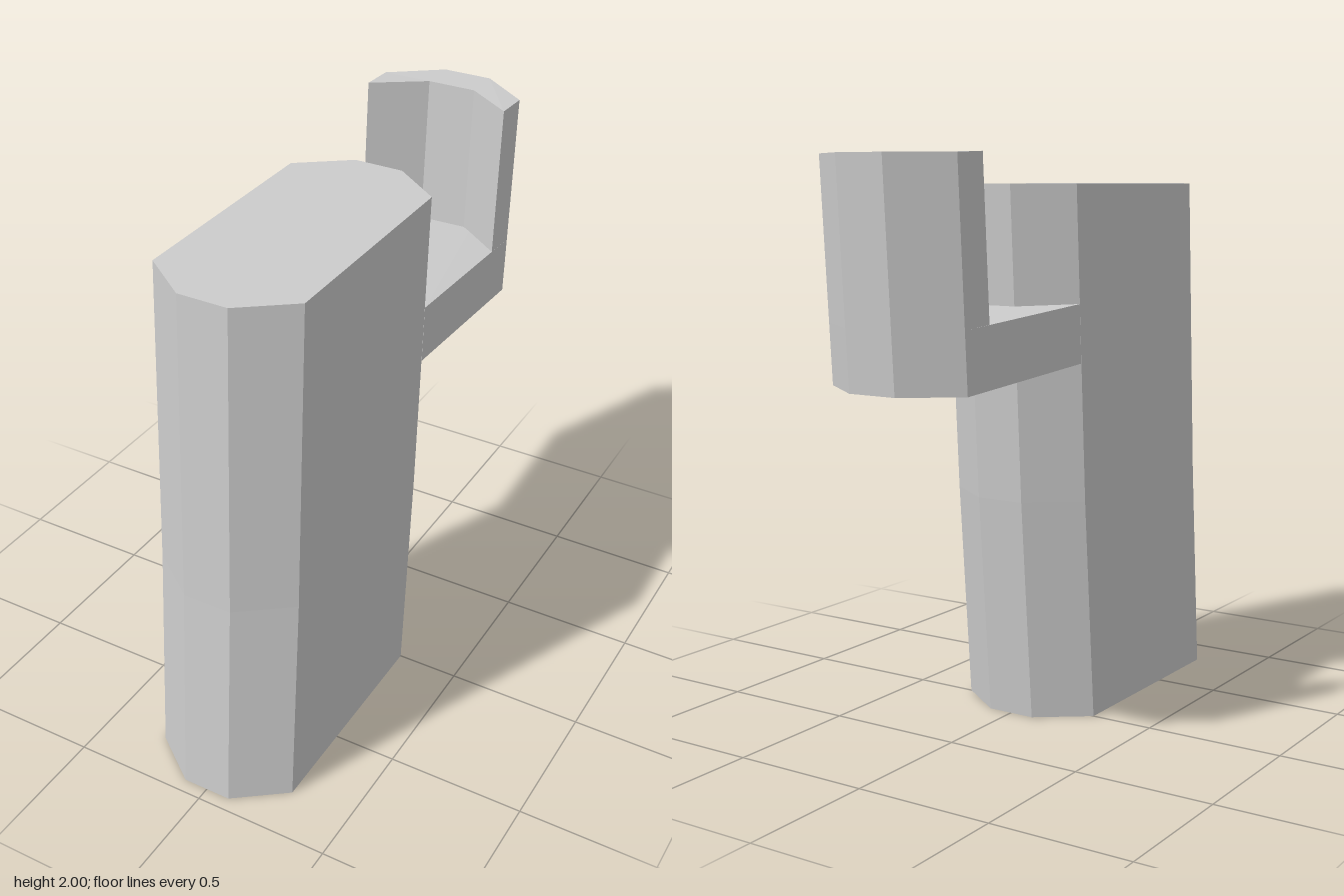
import * as THREE from 'three';

const W = 0.27; // half width
const T = 0.09; // half width of the flat tip
const material = new THREE.MeshStandardMaterial({ color: 0xcccccc, flatShading: true });

// Closed solid through stacked rings of [x, y, z], listed from bottom to top.
// Each ring runs from +x towards +z.
function loft(name, rings) {
  const pos = [];
  const n = rings[0].length;
  const tri = (a, b, c) => pos.push(...a, ...b, ...c);
  for (let r = 0; r < rings.length - 1; r++) {
    const low = rings[r], up = rings[r + 1];
    for (let i = 0; i < n; i++) {
      const j = (i + 1) % n;
      tri(low[i], up[i], up[j]);
      tri(low[i], up[j], low[j]);
    }
  }
  const last = rings[rings.length - 1];
  const flat = (ring) => ring.map(([x, , z]) => new THREE.Vector2(x, z));
  for (const [a, b, c] of THREE.ShapeUtils.triangulateShape(flat(rings[0]), [])) tri(rings[0][a], rings[0][b], rings[0][c]);
  for (const [a, b, c] of THREE.ShapeUtils.triangulateShape(flat(last), [])) tri(last[a], last[c], last[b]);
  const geometry = new THREE.BufferGeometry();
  geometry.setAttribute('position', new THREE.Float32BufferAttribute(pos, 3));
  geometry.computeVertexNormals();
  const mesh = new THREE.Mesh(geometry, material);
  mesh.name = name;
  return mesh;
}

// Half of a bevelled end, from +x to -x, with side and tip depths
const end = (side, tip, ySide, yTip = ySide) => [
  [W, ySide, side], [T, yTip, tip], [-T, yTip, tip], [-W, ySide, side],
];

// Elongated octagon of the body, shifted backwards by dz
const bodyRing = (y, dz) => [
  ...end(0.815 + dz, 0.95 + dz, y),
  ...end(0.0 + dz, -0.133 + dz, y).reverse(),
];

// Slab that starts inside the body and ends in a bevelled back
const armRing = (z, y, side, tip, yBack) => [
  [W, y, z], [-W, y, z], ...end(side, tip, yBack).reverse(),
];

// Bevelled curved wall, open towards the body
const wallRing = (inner, outer, yIn, yOut) => [
  ...end(inner, inner - 0.135, yIn, yOut),
  ...end(outer, outer - 0.135, yOut).reverse(),
];

export function createModel() {
  const model = new THREE.Group();
  model.name = 'clipHolder';

  // Leaning body with a slight bend
  model.add(loft('body', [bodyRing(0, 0), bodyRing(0.8, -0.067), bodyRing(1.9, -0.133)]));

  // Arm reaching back from the body
  model.add(loft('arm', [
    armRing(-0.098, 1.29, -0.77, -0.905, 1.25),
    armRing(-0.11, 1.495, -0.783, -0.918, 1.457),
  ]));

  // Upright hook at the end of the arm
  model.add(loft('hook', [
    wallRing(-0.65, -0.783, 1.465, 1.457),
    wallRing(-0.683, -0.816, 2, 1.995),
  ]));
  return model;
}
